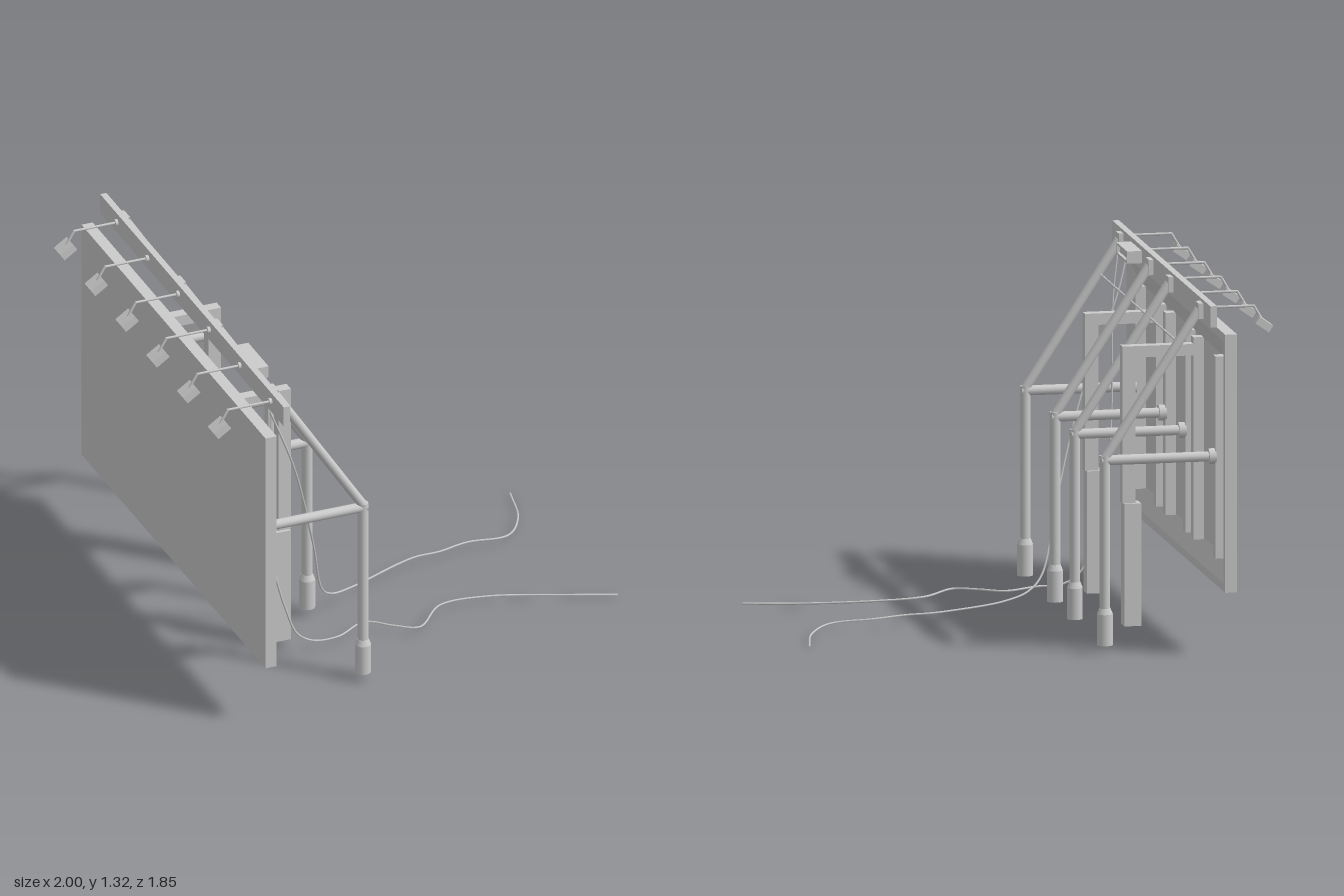
import * as THREE from 'three';

const mat = new THREE.MeshStandardMaterial({ color: 0xcccccc });
const flat = new THREE.MeshStandardMaterial({ color: 0xcccccc, flatShading: true, side: THREE.DoubleSide });
const V = (x, y, z) => new THREE.Vector3(x, y, z);

function add(parent, name, geometry, material = mat) {
  const mesh = new THREE.Mesh(geometry, material);
  mesh.name = name;
  parent.add(mesh);
  return mesh;
}

// Box given by its lower and upper limits on each axis
function box(parent, name, x0, x1, y0, y1, z0, z1) {
  const mesh = add(parent, name, new THREE.BoxGeometry(x1 - x0, y1 - y0, z1 - z0));
  mesh.position.set((x0 + x1) / 2, (y0 + y1) / 2, (z0 + z1) / 2);
  return mesh;
}

// Round bar between two points
function bar(parent, name, a, b, r0, r1 = r0, sides = 14) {
  const dir = b.clone().sub(a);
  const mesh = add(parent, name, new THREE.CylinderGeometry(r1, r0, dir.length(), sides));
  mesh.position.copy(a).add(b).multiplyScalar(0.5);
  mesh.quaternion.setFromUnitVectors(V(0, 1, 0), dir.normalize());
  return mesh;
}

// Rectangular moulding swept from [inset, z] steps, with mitred corners
function frameGeometry(x0, x1, y0, y1, section) {
  const pos = [], index = [];
  for (const [d, z] of section) {
    pos.push(x0 + d, y0 + d, z, x1 - d, y0 + d, z, x1 - d, y1 - d, z, x0 + d, y1 - d, z);
  }
  for (let i = 0; i < section.length - 1; i++) {
    for (let j = 0; j < 4; j++) {
      const a = i * 4 + j, b = i * 4 + (j + 1) % 4;
      index.push(a, b, b + 4, a, b + 4, a + 4);
    }
  }
  const g = new THREE.BufferGeometry();
  g.setAttribute('position', new THREE.Float32BufferAttribute(pos, 3));
  g.setIndex(index);
  g.computeVertexNormals();
  return g;
}

function cable(parent, name, points) {
  const curve = new THREE.CatmullRomCurve3(points.map(p => V(...p)));
  add(parent, name, new THREE.TubeGeometry(curve, 160, 0.004, 6));
}

export function createModel() {
  const model = new THREE.Group();
  model.name = 'billboard';

  // Board assembly: local x runs along the board, local z points to the supports
  const board = new THREE.Group();
  board.name = 'boardAssembly';
  board.rotation.y = THREE.MathUtils.degToRad(68.4);
  model.add(board);

  // Panel, its rim and the ribs inside it
  box(board, 'panel', -0.99, 0.78, 0.24, 1.21, -0.558, -0.542);
  add(board, 'panelFrame', frameGeometry(-0.99, 0.78, 0.24, 1.21,
    [[0, -0.558], [0, -0.513], [0.03, -0.513], [0.11, -0.542]]), flat);

  const legX = [-0.803, -0.266, 0.09, 0.63];
  const columnX = [-0.437, 0.235];
  for (const x of [...legX, ...columnX]) {
    box(board, 'rib', x - 0.022, x + 0.022, 0.345, 1.105, -0.545, -0.503);
  }

  // Top beam
  box(board, 'topBeam', -0.98, 0.785, 1.24, 1.32, -0.481, -0.456);

  // Round legs with foot, strut to the board and brace to the beam
  for (const x of legX) {
    const leg = new THREE.Group();
    leg.name = 'roundLeg';
    leg.position.x = x;
    board.add(leg);
    bar(leg, 'post', V(0, 0.1, -0.09), V(0, 0.745, -0.09), 0.02);
    bar(leg, 'foot', V(0, 0.033, -0.09), V(0, 0.15, -0.09), 0.03);
    bar(leg, 'footTaper', V(0, 0.15, -0.09), V(0, 0.172, -0.09), 0.03, 0.021);
    bar(leg, 'strut', V(0, 0.727, -0.51), V(0, 0.727, -0.075), 0.019);
    bar(leg, 'strutFlange', V(0, 0.727, -0.507), V(0, 0.727, -0.48), 0.03);
    bar(leg, 'brace', V(0, 0.735, -0.09), V(0, 1.28, -0.445), 0.018);
    box(leg, 'braceBracket', -0.028, 0.028, 1.25, 1.308, -0.46, -0.438);
  }
  bar(board, 'tieRod', V(-0.803, 1.155, -0.372), V(0.63, 1.155, -0.372), 0.004, 0.004, 6);

  // Square columns with a thicker base and an arm to the board
  for (const x of columnX) {
    box(board, 'columnBase', x - 0.032, x + 0.032, 0.03, 0.49, -0.304, -0.24);
    box(board, 'columnPost', x - 0.021, x + 0.021, 0.49, 1.08, -0.285, -0.235);
    box(board, 'columnArm', x - 0.021, x + 0.021, 1.037, 1.08, -0.51, -0.235);
  }

  // Lamps hung out over the face of the panel
  for (let i = 0; i < 6; i++) {
    const lamp = new THREE.Group();
    lamp.name = 'lamp';
    lamp.position.x = -0.86 + i * 0.296;
    board.add(lamp);
    bar(lamp, 'lampMount', V(0, 1.285, -0.492), V(0, 1.285, -0.478), 0.013);
    bar(lamp, 'lampArm', V(0, 1.285, -0.485), V(0, 1.285, -0.655), 0.005, 0.005, 8);
    bar(lamp, 'lampDrop', V(0, 1.287, -0.653), V(0, 1.225, -0.69), 0.005, 0.005, 8);
    const head = add(lamp, 'lampHead', new THREE.BoxGeometry(0.064, 0.03, 0.062));
    head.position.set(0, 1.218, -0.688);
    head.rotation.x = -0.6;
  }

  // Junction box with a raised rim
  box(board, 'junctionBox', -0.64, -0.445, 1.257, 1.303, -0.457, -0.412);
  const rim = add(board, 'junctionBoxRim', frameGeometry(-0.64, -0.445, 1.257, 1.303,
    [[0, -0.412], [0, -0.4], [0.009, -0.4], [0.009, -0.412]]), flat);
  rim.position.z = 0;

  // Loose cables falling from the junction box and trailing along the ground
  cable(model, 'cableShort', [[-0.57, 1.27, 0.385], [-0.55, 1.1, 0.385], [-0.545, 0.7, 0.385],
    [-0.52, 0.4, 0.385], [-0.47, 0.2, 0.4], [-0.42, 0.085, 0.41], [-0.36, 0.045, 0.435],
    [-0.27, 0.04, 0.468], [-0.12, 0.04, 0.457], [-0.06, 0.038, 0.55], [0, 0.036, 0.62],
    [0.18, 0.034, 0.55], [0.35, 0.027, 0.61], [0.6, 0.013, 0.8], [0.735, 0.009, 0.92]]);
  cable(model, 'cableLong', [[-0.585, 1.27, 0.345], [-0.54, 1.13, 0.34], [-0.38, 0.75, 0.348],
    [-0.25, 0.37, 0.315], [-0.17, 0.13, 0.28], [-0.1, 0.075, 0.262], [0.02, 0.05, 0.245],
    [0.27, 0.042, 0.228], [0.36, 0.041, 0.233], [0.45, 0.039, 0.262], [0.58, 0.035, 0.277],
    [0.73, 0.026, 0.333], [0.87, 0.015, 0.25], [0.995, 0.004, 0.08]]);

  return model;
}
